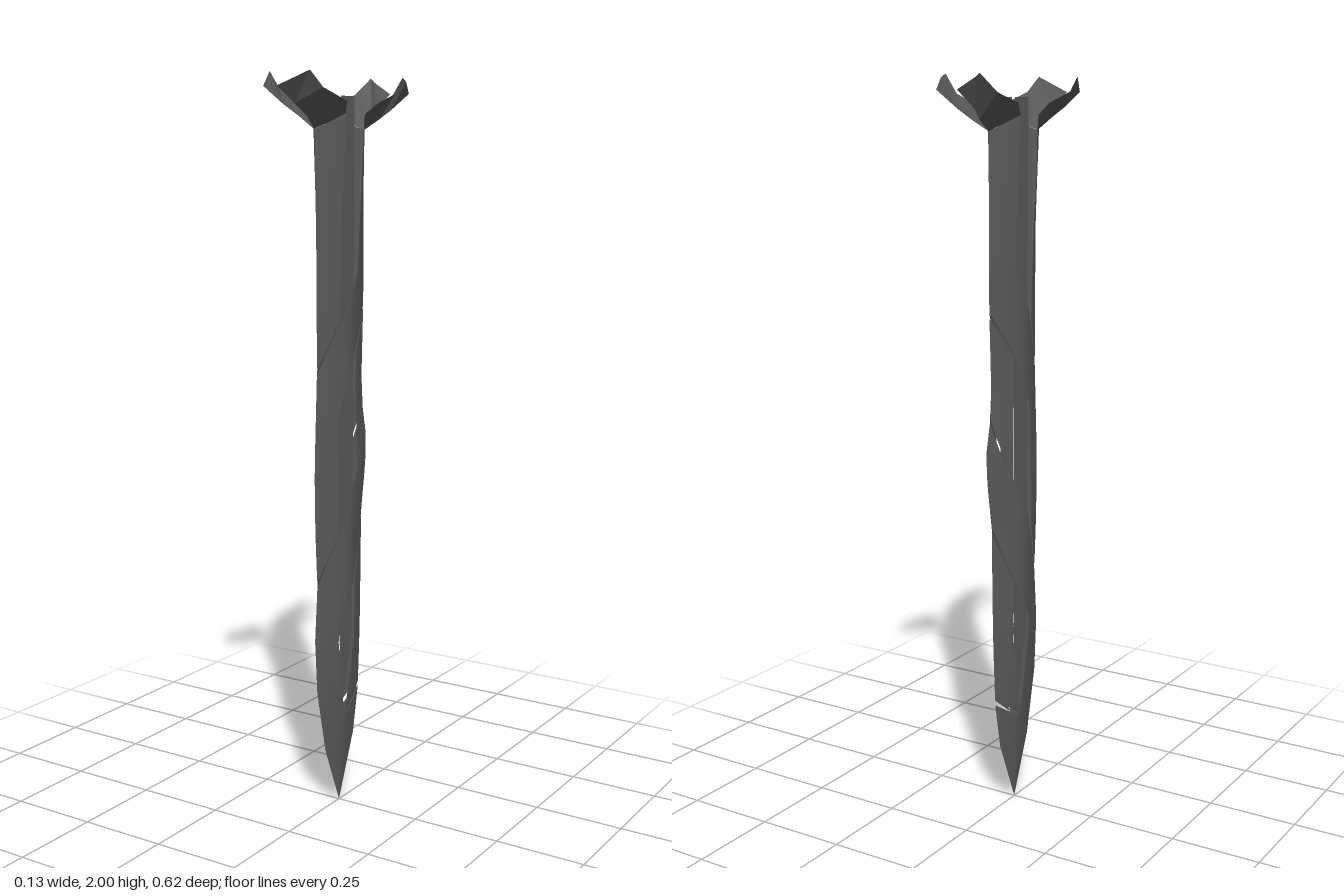
import * as THREE from 'three';

const material = new THREE.MeshStandardMaterial({ color: 0x5c5c5c, side: THREE.DoubleSide });

// Piecewise linear profile of [y, value] pairs
const profile = (pts) => (y) => {
  if (y <= pts[0][0]) return pts[0][1];
  for (let i = 1; i < pts.length; i++) {
    const [y0, a] = pts[i - 1], [y1, b] = pts[i];
    if (y <= y1) return a + ((b - a) * (y - y0)) / (y1 - y0);
  }
  return pts[pts.length - 1][1];
};

// Lens-shaped cross-section: front ridge, back ridge and half width by height
const frontRidge = profile([[0, 0], [0.17, 0.07], [0.35, 0.11], [0.5, 0.12], [0.65, 0.108], [0.8, 0.117],
  [0.97, 0.12], [1.24, 0.107], [1.6, 0.109], [1.86, 0.117]]);
const backRidge = profile([[0, 0], [0.18, 0.075], [0.31, 0.1], [0.5, 0.11], [0.82, 0.115], [0.95, 0.136],
  [1.03, 0.14], [1.11, 0.122], [1.2, 0.115], [1.4, 0.123], [1.86, 0.123]]);
const halfWidth = profile([[0, 0], [0.2, 0.013], [0.35, 0.023], [0.5, 0.029], [0.68, 0.033], [0.85, 0.036],
  [1.0, 0.032], [1.3, 0.034], [1.6, 0.045], [1.8, 0.058], [1.9, 0.063]]);

// u runs from 1 (front ridge) to -1 (back ridge)
const shell = ([u, y]) => [
  halfWidth(y) * (1 - Math.min(1, Math.abs(u)) ** 1.5),
  y,
  u * (u > 0 ? frontRidge(y) : backRidge(y)),
];

// Sheet between two edges, mirrored over x
function sheet(name, rows, map = (p) => p, cols = 8, sub = 4, flat = false) {
  const pos = [], index = [];
  const mix = (a, b, t) => a.map((v, i) => v + (b[i] - v) * t);
  const lines = [];
  rows.forEach(([a, b], r) => {
    if (r === 0) return lines.push([a, b]);
    const [pa, pb] = rows[r - 1];
    for (let s = 1; s <= sub; s++) lines.push([mix(pa, a, s / sub), mix(pb, b, s / sub)]);
  });
  for (const side of [1, -1]) {
    const base = pos.length / 3;
    for (const [a, b] of lines) {
      for (let c = 0; c <= cols; c++) {
        const [x, y, z] = map(mix(a, b, c / cols));
        pos.push(x * side, y, z);
      }
    }
    for (let r = 0; r < lines.length - 1; r++) {
      for (let c = 0; c < cols; c++) {
        const i = base + r * (cols + 1) + c, j = i + cols + 1;
        if (side > 0) index.push(i, i + 1, j, i + 1, j + 1, j);
        else index.push(i, j, i + 1, i + 1, j, j + 1);
      }
    }
  }
  let geo = new THREE.BufferGeometry();
  geo.setAttribute('position', new THREE.Float32BufferAttribute(pos, 3));
  geo.setIndex(index);
  if (flat) geo = geo.toNonIndexed();
  geo.computeVertexNormals();
  const mesh = new THREE.Mesh(geo, material);
  mesh.name = name;
  return mesh;
}

export function createModel() {
  const group = new THREE.Group();
  group.name = 'scabbard';

  // Tip, lower front rail and the lower band that wraps up to the back
  group.add(sheet('tipAndLowerBand', [
    [[1, 0], [-1, 0]],
    [[1, 0.1], [-1, 0.18]],
    [[1, 0.17], [-1, 0.31]],
    [[1, 0.2], [0, 0.24]],
    [[1, 0.35], [0.08, 0.3]],
    [[1, 0.5], [0.32, 0.48]],
    [[1, 0.65], [0.33, 0.53]],
    [[0.36, 0.78], [-0.3, 0.65]],
    [[-0.36, 0.95], [-0.65, 0.73]],
    [[-1, 1.11], [-1, 0.82]],
  ], shell));

  // Middle front rail, upper band and upper back rail
  group.add(sheet('upperBandAndBackRail', [
    [[1, 0.665], [0.36, 0.795]],
    [[1, 0.95], [0.36, 0.97]],
    [[1, 1.23], [0.36, 1.12]],
    [[0.36, 1.355], [-0.36, 1.29]],
    [[-0.36, 1.5], [-1, 1.4]],
    [[-0.39, 1.7], [-1, 1.65]],
    [[-0.39, 1.9], [-1, 1.86]],
  ], shell));

  // Separate rail lengths
  group.add(sheet('upperFrontRail', [
    [[1, 1.245], [0.37, 1.37]],
    [[1, 1.6], [0.37, 1.6]],
    [[1, 1.86], [0.37, 1.9]],
  ], shell));
  group.add(sheet('middleBackRail', [
    [[-0.38, 0.965], [-1, 1.12]],
    [[-0.38, 1.15], [-1, 1.2]],
    [[-0.38, 1.275], [-1, 1.385]],
  ], shell));
  group.add(sheet('lowerBackRail', [
    [[0, 0.255], [-1, 0.325]],
    [[-0.43, 0.47], [-1, 0.47]],
    [[-0.36, 0.64], [-1, 0.805]],
  ], shell));

  // Thin inner plates seen through the openings
  group.add(sheet('innerPlates', [
    [[0.012, 0.29, 0], [0.012, 0.29, 0]],
    [[0.02, 0.5, 0.03], [0.02, 0.5, -0.035]],
    [[0.022, 1.3, 0.03], [0.022, 1.3, -0.037]],
    [[0.025, 1.945, 0.03], [0.025, 1.945, -0.037]],
  ], undefined, 1, 1));

  // Flared prongs at the mouth
  group.add(sheet('frontProngs', [
    [[0, 1.86, 0.117], [0.048, 1.9, 0.042]],
    [[0, 1.86, 0.117], [0.066, 1.93, 0.065]],
    [[0.012, 1.89, 0.165], [0.066, 1.96, 0.175]],
    [[0.018, 1.92, 0.23], [0.06, 2, 0.225]],
    [[0.02, 1.96, 0.31], [0.06, 2, 0.225]],
  ], undefined, 1, 1, true));
  group.add(sheet('backProngs', [
    [[0.05, 1.9, -0.048], [0, 1.86, -0.123]],
    [[0.067, 1.93, -0.09], [0, 1.86, -0.123]],
    [[0.063, 1.955, -0.18], [0.012, 1.89, -0.185]],
    [[0.05, 2, -0.24], [0.025, 1.915, -0.225]],
    [[0.05, 1.99, -0.26], [0.03, 1.96, -0.31]],
  ], undefined, 1, 1, true));

  return group;
}
